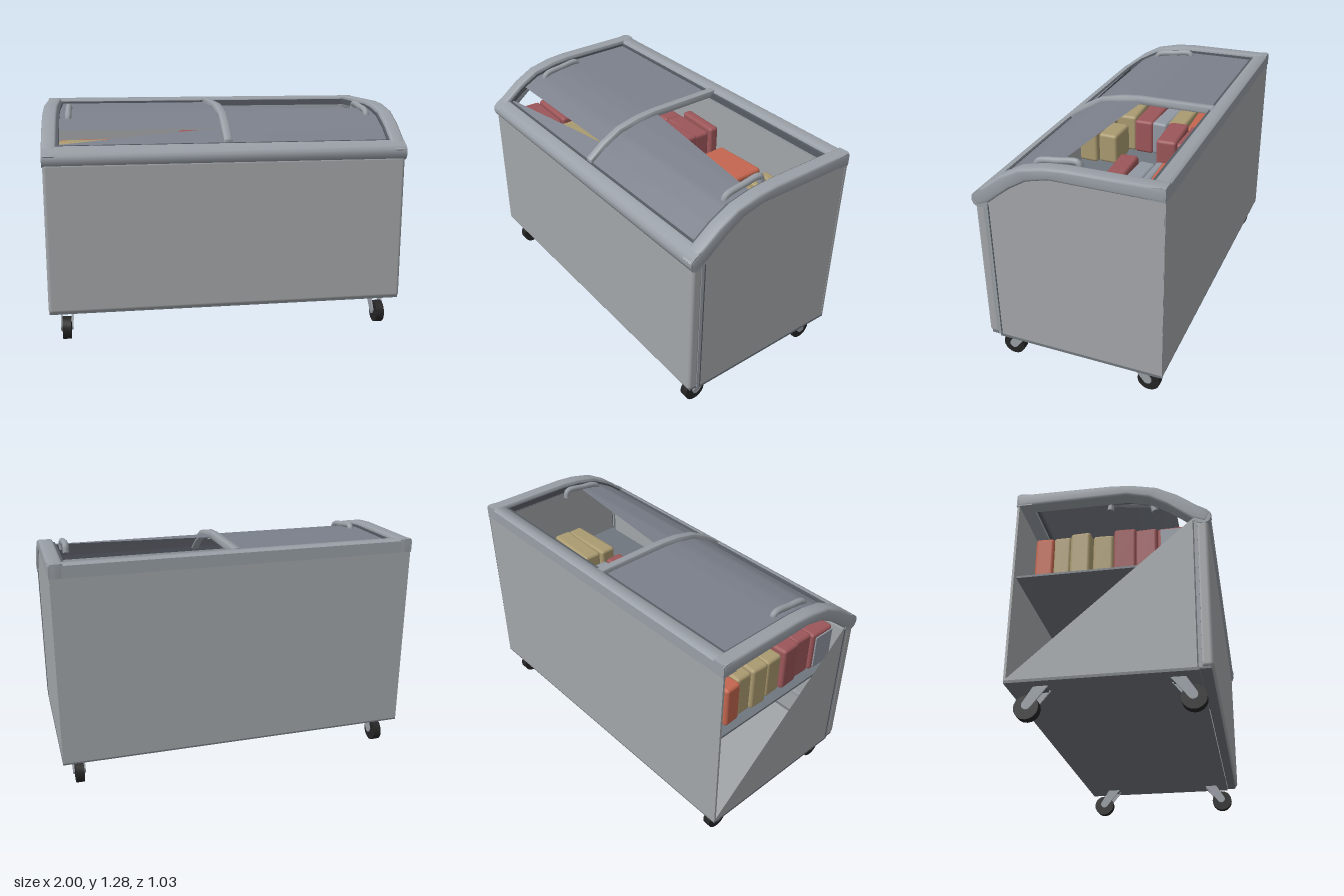
import * as THREE from 'three';
import { toCreasedNormals } from 'three/addons/utils/BufferGeometryUtils.js';
import { RoundedBoxGeometry } from 'three/addons/geometries/RoundedBoxGeometry.js';

const D = THREE.DoubleSide;
const paint = (name, color, side = THREE.FrontSide) => {
  const m = new THREE.MeshStandardMaterial({ color, side });
  m.name = name;
  return m;
};

// Upper and lower edge of the curved side rail, as [z, y] from back to front
const RAIL_TOP = [[-0.515, 1.28], [0, 1.275], [0.11, 1.265], [0.24, 1.235], [0.35, 1.175], [0.44, 1.105], [0.52, 1.04]];
const RAIL_LOW = [[-0.515, 1.205], [0.08, 1.205], [0.2, 1.175], [0.29, 1.12], [0.36, 1.065], [0.42, 1.015], [0.49, 0.985]];

function railHeight(z) {
  for (let i = 1; i < RAIL_TOP.length; i++) {
    const [z0, y0] = RAIL_TOP[i - 1], [z1, y1] = RAIL_TOP[i];
    if (z <= z1) return y0 + (y1 - y0) * (z - z0) / (z1 - z0);
  }
  return 1.04;
}

const sideShape = pts => new THREE.Shape(pts.map(([z, y]) => new THREE.Vector2(z, y)));

// Extrudes a [z, y] outline along x between x0 and x1, with an optional inset bevel
function extrudeAcross(pts, x0, x1, bevel = 0) {
  const g = new THREE.ExtrudeGeometry(sideShape(pts), {
    depth: x1 - x0 - 2 * bevel, bevelEnabled: bevel > 0, bevelSegments: 3,
    bevelSize: bevel, bevelThickness: bevel, bevelOffset: -bevel,
  });
  g.rotateY(-Math.PI / 2).translate(x1 - bevel, 0, 0);
  return toCreasedNormals(g, 0.85);
}

// Curved sheet lying just under the rail, bounded by two z limits
function paneGeometry(x0, x1, zBack, zFront) {
  const g = new THREE.PlaneGeometry(1, 1, 8, 24), p = g.attributes.position;
  for (let i = 0; i < p.count; i++) {
    const x = x0 + (p.getX(i) + 0.5) * (x1 - x0);
    const a = zBack(x), z = a + (0.5 - p.getY(i)) * (zFront(x) - a);
    p.setXYZ(i, x, railHeight(z) - 0.03, z);
  }
  g.computeVertexNormals();
  return g;
}

export function createModel() {
  const root = new THREE.Group();
  root.name = 'chestFreezer';
  const body = paint('bodyGrey', 0xa3a6a9, D);
  const rim = paint('rimGrey', 0x999fa6);
  const glass = paint('glassGrey', 0x7b808b, D);
  const base = paint('baseGrey', 0x70767d);
  const seal = paint('sealDark', 0x575c64);
  const tyre = paint('tyreBlack', 0x252525);
  const orange = paint('packOrange', 0xc4664f);
  const red = paint('packRed', 0x9c5659);
  const tan = paint('packTan', 0xaa9a70);
  const silver = paint('packSilver', 0x9298a2);

  const add = (name, geo, mat, x = 0, y = 0, z = 0, parent = root) => {
    const m = new THREE.Mesh(geo, mat);
    m.name = name;
    m.position.set(x, y, z);
    parent.add(m);
    return m;
  };
  const box = (name, w, h, d, mat, x, y, z) => add(name, new THREE.BoxGeometry(w, h, d), mat, x, y, z);

  // Cabinet: base, back, bulged front panel with corner posts
  box('base', 1.99, 0.015, 0.945, base, 0, 0.1725, -0.037);
  box('cabinetFloor', 1.98, 0.006, 0.94, body, 0, 0.183, -0.037);
  box('backPanel', 1.99, 1.04, 0.012, body, 0, 0.695, -0.505);
  add('frontPanel', new RoundedBoxGeometry(1.99, 0.82, 0.065, 3, 0.02), body, 0, 0.59, 0.472);
  box('frontPanelFoot', 1.98, 0.012, 0.05, base, 0, 0.178, 0.465);
  for (const s of [-1, 1]) {
    box('cornerPost', 0.016, 0.83, 0.02, rim, s * 0.987, 0.59, 0.438);
    box('cornerSeam', 0.006, 0.82, 0.006, seal, s * 0.993, 0.59, 0.428);
  }

  // Left side is whole; right side keeps only its lower front triangle
  const whole = [[-0.51, 0.18], [0.43, 0.18], [0.43, 1.02], ...RAIL_LOW.slice(0, 6).reverse().map(([z, y]) => [z, y + 0.01])];
  const half = [[-0.51, 0.18], [0.43, 0.18], [0.43, 1.02]];
  for (const [name, pts, x] of [['leftSide', whole, 0.993], ['rightSide', half, -0.993]]) {
    add(name, new THREE.ShapeGeometry(sideShape(pts)).rotateY(-Math.PI / 2), body, x);
  }

  // Rim: two curved rails, rounded front and back bars
  const rail = [...RAIL_LOW, ...RAIL_TOP.slice().reverse()];
  add('leftRail', extrudeAcross(rail, 0.92, 1, 0.014), rim);
  add('rightRail', extrudeAcross(rail, -1, -0.92, 0.014), rim);
  const frontBar = [[0.43, 1], [0.46, 0.983], [0.49, 0.98], [0.51, 0.992], [0.519, 1.015], [0.517, 1.04],
    [0.5, 1.06], [0.465, 1.083], [0.445, 1.085], [0.43, 1.07]];
  add('frontBar', extrudeAcross(frontBar, -0.998, 0.998), rim);
  const backBar = [[-0.515, 1.205], [-0.43, 1.205], [-0.43, 1.262], [-0.44, 1.274], [-0.5, 1.28], [-0.515, 1.27]];
  add('backBar', extrudeAcross(backBar, -0.998, 0.998), rim);

  // Dark seals along the inside of the rim
  const band = RAIL_TOP.slice(0, 6).map(([z, y]) => [Math.max(z, -0.43), y]);
  const sealOutline = [...band.map(([z, y]) => [z, y - 0.05]), ...band.reverse().map(([z, y]) => [z, y - 0.018])];
  add('leftSeal', extrudeAcross(sealOutline, 0.908, 0.922), seal);
  add('rightSeal', extrudeAcross(sealOutline, -0.922, -0.908), seal);
  box('backSeal', 1.84, 0.035, 0.016, seal, 0, 1.243, -0.424);
  box('frontSeal', 1.84, 0.03, 0.014, seal, 0, 1.072, 0.436);

  // Central curved divider
  const arc = [-0.44, 0, 0.11, 0.24, 0.35, 0.44].map(z => [z, railHeight(z)]);
  const divider = [...arc.map(([z, y]) => [z, y - 0.045]), ...arc.slice().reverse().map(([z, y]) => [z, y - 0.002])];
  add('divider', extrudeAcross(divider, -0.023, 0.023, 0.009), rim);

  // Curved lid panes
  add('rightPane', paneGeometry(-0.92, -0.01, () => -0.43, () => 0.33), glass);
  add('rightPaneCorner', paneGeometry(-0.92, -0.01, x => 0.33 - x * 0.1, () => 0.445), glass);
  add('leftPane', paneGeometry(0.01, 0.92, x => -0.02 + x * 0.12, () => 0.445), glass);

  // Lid handles
  for (const s of [-1, 1]) {
    const path = [[-0.03, -0.04], [-0.02, 0], [0.09, 0], [0.2, 0], [0.215, -0.04]]
      .map(([z, dy]) => new THREE.Vector3(s * 0.86, railHeight(z) - 0.02 + dy, z));
    add('handle', new THREE.TubeGeometry(new THREE.CatmullRomCurve3(path), 24, 0.018, 8), rim);
  }

  // Storage shelf and rows of frozen packs, listed back to front as [colour, depth]
  box('shelf', 1.94, 0.012, 0.9, base, 0, 0.775, -0.045);
  box('shelfFrontRail', 1.94, 0.02, 0.02, rim, 0, 0.42, 0.38);
  const rows = [
    { x: 0.69, w: 0.35, top: 0.97, packs: [[tan, 0.06], [tan, 0.1], [tan, 0.11], [tan, 0.11], [tan, 0.1]] },
    { x: 0.3, w: 0.33, top: 0.95, packs: [[orange, 0.22], [silver, 0.05], [silver, 0.1], [red, 0.11]] },
    { x: -0.05, w: 0.28, top: 1.06, packs: [[red, 0.06], [red, 0.11], [red, 0.12]] },
    { x: -0.43, w: 0.33, top: 1, packs: [[red, 0.12], [orange, 0.11], [tan, 0.11], [silver, 0.1], [red, 0.12], [tan, 0.13], [tan, 0.13]] },
    { x: -0.77, w: 0.32, top: 1.03, packs: [[orange, 0.1], [tan, 0.1], [tan, 0.11], [tan, 0.11], [red, 0.12], [red, 0.12], [red, 0.16]] },
    { x: -0.14, w: 0.2, top: 0.98, packs: [[tan, 0.12], [tan, 0.12]], start: 0.17 },
  ];
  rows.forEach(({ x, w, top, packs, start = -0.42 }, r) => {
    let z = start;
    packs.forEach(([mat, depth], i) => {
      const h = top - 0.781 + 0.012 * Math.sin(i * 2.3 + r);
      const pack = add('frozenPack', new RoundedBoxGeometry(w, h, depth, 2, 0.018), mat,
        x + 0.01 * Math.sin(i * 3.1 + r), 0.781 + h / 2, z + depth / 2);
      pack.rotation.y = 0.05 * Math.sin(i * 1.7 + r * 2);
      z += depth;
    });
  });
  // Silver label faces on the front pack of the open side
  box('packSideLabel', 0.008, 0.2, 0.13, silver, -0.941, 0.9, 0.32);
  box('packTopLabel', 0.14, 0.008, 0.05, silver, -0.76, 1.034, 0.365);

  // Casters: wheel between two raked fork plates with rounded ends
  for (const sx of [-1, 1]) for (const sz of [-1, 1]) {
    const caster = new THREE.Group();
    caster.name = 'caster';
    caster.position.set(sx * 0.903, 0.064, sz > 0 ? 0.4 : -0.412);
    root.add(caster);
    const wheel = new THREE.CylinderGeometry(0.063, 0.063, 0.046, 20).rotateZ(Math.PI / 2);
    add('wheel', toCreasedNormals(wheel, 0.6), tyre, 0, 0, 0, caster);
    const outline = [[-0.11, 0.102], [-0.035, 0.102]];
    for (let i = 0; i <= 8; i++) {
      const a = 0.55 - Math.PI * i / 8;
      outline.push([0.024 * Math.cos(a) - 0.004, 0.024 * Math.sin(a) + 0.008]);
    }
    const fork = outline.map(([z, y]) => [z * sz, y]);
    for (const s of [-1, 1]) {
      add('forkPlate', extrudeAcross(fork, s * 0.03 - 0.004, s * 0.03 + 0.004), rim, 0, 0, 0, caster);
    }
    add('casterMount', new THREE.BoxGeometry(0.05, 0.012, 0.05), seal, 0, 0.096, -sz * 0.072, caster);
  }
  return root;
}
